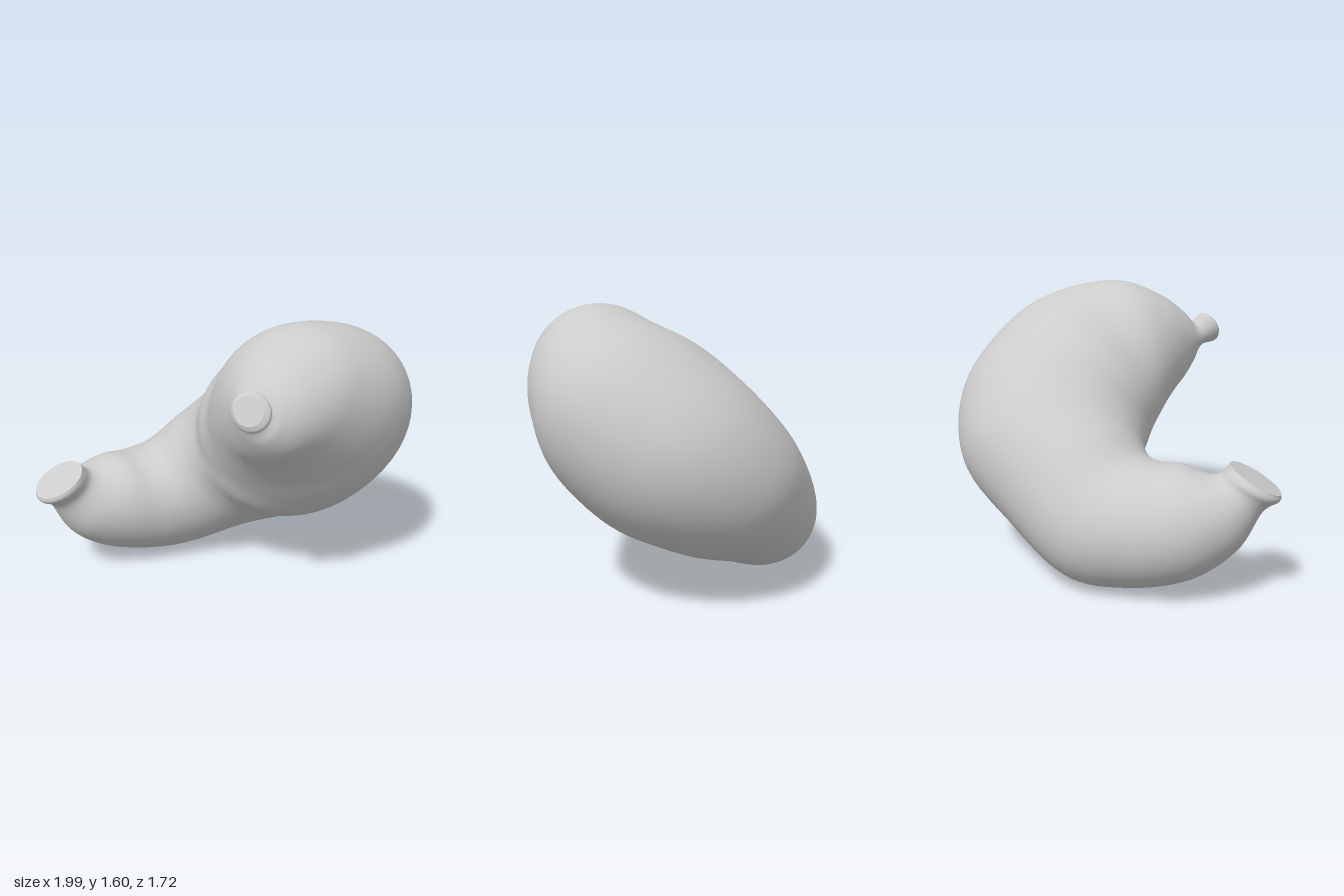
import * as THREE from 'three';

const STEPS = 130, SIDES = 56;

// Sections along the bent sac, in the tilted plane of its bend:
// inner edge (u, v, w), outer edge (u, v, w), half height, lean
const SECTIONS = [
  [-0.515, 1.390, 0.43, -0.405, 1.480, 0.43, 0.075, -0.12], // upper tip
  [-0.505, 1.355, 0.43, -0.365, 1.485, 0.43, 0.102, -0.12], // upper rim
  [-0.42, 1.29, 0.44, -0.32, 1.43, 0.44, 0.082, -0.1],      // upper neck
  [-0.38, 1.18, 0.46, -0.27, 1.47, 0.46, 0.17, 0],
  [-0.34, 1.05, 0.49, -0.11, 1.54, 0.49, 0.275, 0],
  [-0.29, 0.90, 0.53, 0.18, 1.59, 0.53, 0.365, 0],          // dome
  [-0.24, 0.75, 0.53, 0.57, 1.51, 0.49, 0.435, 0],
  [-0.21, 0.63, 0.55, 0.85, 1.24, 0.46, 0.515, 0],
  [-0.19, 0.54, 0.53, 1.00, 0.71, 0.51, 0.525, 0],          // outer bend
  [-0.19, 0.45, 0.57, 0.86, 0.21, 0.57, 0.468, 0],
  [-0.21, 0.37, 0.60, 0.48, -0.15, 0.60, 0.41, 0],
  [-0.27, 0.28, 0.60, 0.12, -0.41, 0.60, 0.362, 0],
  [-0.37, 0.23, 0.62, -0.20, -0.45, 0.62, 0.335, 0],        // lower bend
  [-0.49, 0.21, 0.67, -0.53, -0.40, 0.67, 0.295, -0.1],
  [-0.60, 0.16, 0.72, -0.76, -0.25, 0.72, 0.23, -0.3],
  [-0.67, 0.14, 0.785, -0.89, -0.07, 0.785, 0.145, -0.5],   // lower neck
  [-0.72, 0.175, 0.81, -0.97, -0.02, 0.81, 0.155, -0.6],    // lower rim
  [-0.74, 0.195, 0.825, -0.98, 0.01, 0.825, 0.143, -0.6],   // lower tip
];

// Plane coordinates to model space (bend plane leans 45 degrees)
const toModel = (u, v, w) => [u, (v + w) * Math.SQRT1_2, (v - w) * Math.SQRT1_2];

const curve = (pick) => new THREE.CatmullRomCurve3(
  SECTIONS.map((s) => new THREE.Vector3(...pick(s))), false, 'catmullrom', 0.5);
const inner = curve((s) => s.slice(0, 3));
const outer = curve((s) => s.slice(3, 6));
const girth = curve((s) => [s[6], s[7], 0]);

// One elliptical ring at t, as a flat list of coordinates
function ring(t, scale = 1) {
  const p = inner.getPoint(t), q = outer.getPoint(t), g = girth.getPoint(t);
  const mid = p.clone().add(q).multiplyScalar(0.5);
  const half = q.clone().sub(p).multiplyScalar(0.5);
  const dir = new THREE.Vector2(half.x, half.y).normalize();
  const upright = Math.sqrt(1 - g.y * g.y);
  const out = [];
  for (let j = 0; j < SIDES; j++) {
    const a = (j / SIDES) * Math.PI * 2;
    const c = Math.cos(a) * scale, s = Math.sin(a) * scale * g.x;
    out.push(...toModel(
      mid.x + half.x * c + dir.y * g.y * s,
      mid.y + half.y * c - dir.x * g.y * s,
      mid.z + half.z * c + upright * s));
  }
  return out;
}

// Skin a list of rings
function loft(rings) {
  const index = [];
  for (let i = 0; i < rings.length - 1; i++) {
    for (let j = 0; j < SIDES; j++) {
      const k = (j + 1) % SIDES;
      const a = i * SIDES + j, b = i * SIDES + k;
      const c = a + SIDES, d = b + SIDES;
      index.push(a, d, b, a, c, d);
    }
  }
  const geo = new THREE.BufferGeometry();
  geo.setAttribute('position', new THREE.Float32BufferAttribute(rings.flat(), 3));
  geo.setIndex(index);
  geo.computeVertexNormals();
  return geo;
}

export function createModel() {
  const group = new THREE.Group();
  const material = new THREE.MeshStandardMaterial({ color: 0xcccccc, roughness: 0.8 });
  const add = (name, geo) => {
    const mesh = new THREE.Mesh(geo, material);
    mesh.name = name;
    group.add(mesh);
  };

  // Curved sac with both necks
  const rings = [];
  for (let i = 0; i <= STEPS; i++) rings.push(ring(i / STEPS));
  add('curvedSac', loft(rings));

  // Flat discs closing the two openings
  add('upperOpeningCap', loft([ring(0, 0.001), ring(0, 1)]));
  add('lowerOpeningCap', loft([ring(1, 1), ring(1, 0.001)]));

  // Stand on the ground, centred
  const box = new THREE.Box3().setFromObject(group);
  const centre = box.getCenter(new THREE.Vector3());
  for (const mesh of group.children) {
    mesh.geometry.translate(-centre.x, -box.min.y, -centre.z);
  }
  return group;
}
